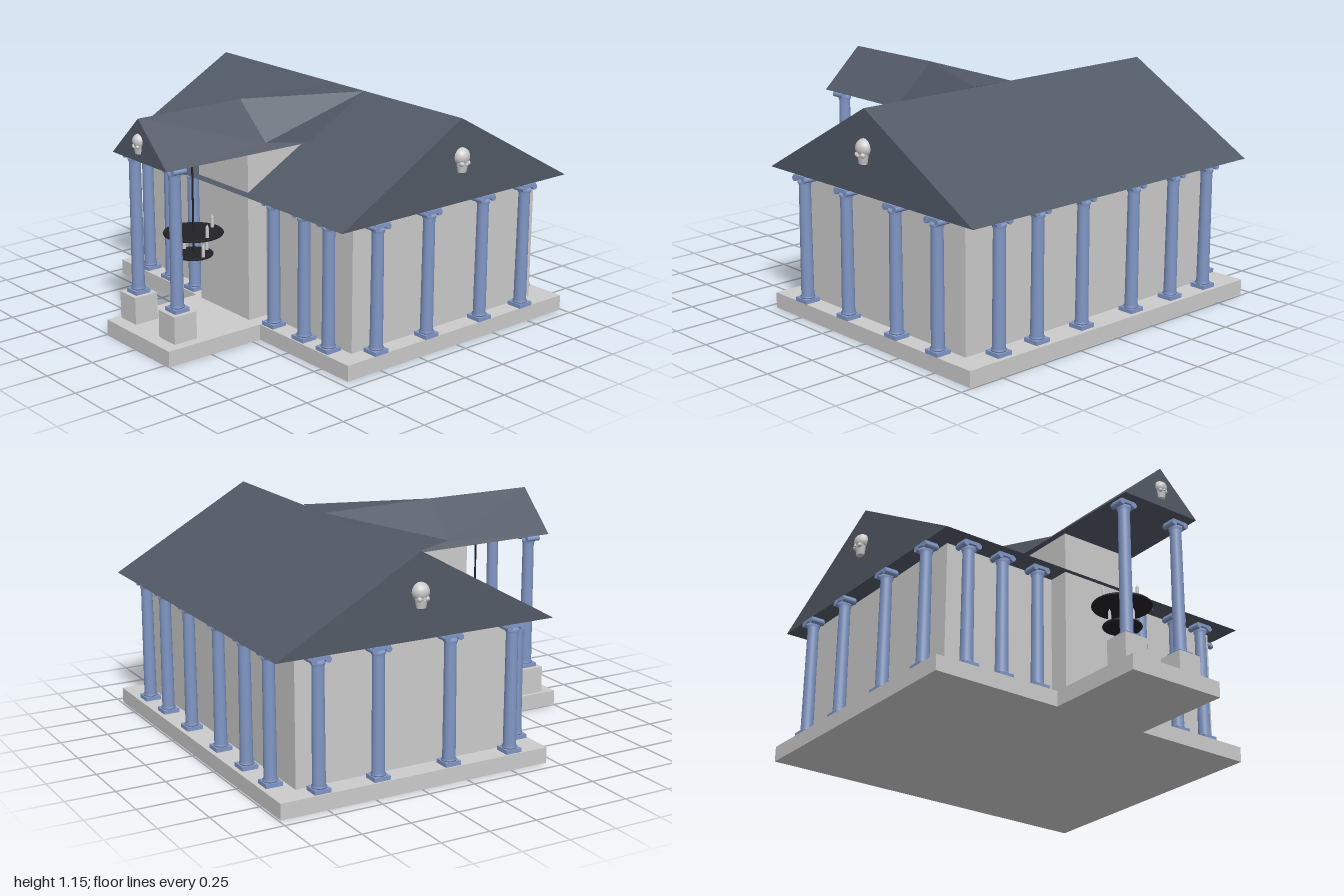
import * as THREE from 'three';

const mat = (color, extra = {}) => new THREE.MeshStandardMaterial({ color, ...extra });
const stone = mat(0xcccccc);
const columnBlue = mat(0x8096c4);
const slate = mat(0x525a66, { flatShading: true, side: THREE.DoubleSide });
const iron = mat(0x222226);

function add(parent, name, geometry, material, x = 0, y = 0, z = 0) {
  const mesh = new THREE.Mesh(geometry, material);
  mesh.name = name;
  mesh.position.set(x, y, z);
  parent.add(mesh);
  return mesh;
}

// Box given by its minimum and maximum on each axis
function block(parent, name, [x0, x1], [y0, y1], [z0, z1], material = stone) {
  return add(parent, name, new THREE.BoxGeometry(x1 - x0, y1 - y0, z1 - z0), material,
    (x0 + x1) / 2, (y0 + y1) / 2, (z0 + z1) / 2);
}

// Scroll-topped column; the scrolls face along z before turning
function column(name, x, z, y0, y1, turn = 0) {
  const g = new THREE.Group();
  g.name = name;
  g.position.set(x, y0, z);
  g.rotation.y = turn;
  const h = y1 - y0;
  block(g, 'plinth', [-0.042, 0.042], [0, 0.02], [-0.042, 0.042], columnBlue);
  const profile = [[0, 0.02], [0.036, 0.02], [0.037, 0.027], [0.032, 0.033],
    [0.029, h - 0.05], [0.034, h - 0.04], [0.034, h - 0.025], [0, h - 0.025]];
  add(g, 'shaft', new THREE.LatheGeometry(profile.map(p => new THREE.Vector2(...p)), 20), columnBlue);
  block(g, 'abacus', [-0.044, 0.044], [h - 0.017, h], [-0.035, 0.035], columnBlue);
  for (const s of [-1, 1]) {
    const scroll = add(g, 'scroll', new THREE.CylinderGeometry(0.015, 0.015, 0.074, 14), columnBlue, s * 0.036, h - 0.018, 0);
    scroll.rotation.x = Math.PI / 2;
  }
  return g;
}

// Sculpted head ornament, facing +z before turning
function headOrnament(x, y, z, turn, scale = 1) {
  const g = new THREE.Group();
  g.name = 'headOrnament';
  g.position.set(x, y, z);
  g.rotation.y = turn;
  g.scale.setScalar(scale);
  add(g, 'cranium', new THREE.SphereGeometry(0.044, 20, 14), stone, 0, 0.015, 0).scale.set(1, 1, 0.95);
  add(g, 'jaw', new THREE.CylinderGeometry(0.036, 0.024, 0.06, 14), stone, 0, -0.03, 0.008).scale.z = 0.8;
  add(g, 'nose', new THREE.ConeGeometry(0.007, 0.02, 6), stone, 0, -0.008, 0.04);
  for (const s of [-1, 1]) {
    add(g, 'cheek', new THREE.SphereGeometry(0.013, 10, 8), stone, s * 0.02, -0.015, 0.026);
  }
  return g;
}

// Disc with a raised rim and four candles
function candleTier(y, radius, candleRadius) {
  const g = new THREE.Group();
  g.name = 'candleTier';
  g.position.y = y;
  add(g, 'disc', new THREE.CylinderGeometry(radius, radius, 0.008, 28), iron);
  const rim = add(g, 'rim', new THREE.TorusGeometry(radius - 0.003, 0.006, 6, 28), iron);
  rim.rotation.x = Math.PI / 2;
  for (let i = 0; i < 4; i++) {
    const a = i * Math.PI / 2;
    const x = candleRadius * Math.cos(a), z = candleRadius * Math.sin(a);
    add(g, 'candle', new THREE.CylinderGeometry(0.008, 0.009, 0.055, 10), stone, x, 0.03, z);
    add(g, 'flame', new THREE.ConeGeometry(0.006, 0.016, 8), stone, x, 0.065, z);
  }
  return g;
}

function porchRoof() {
  const points = [
    [-0.95, 1.15, 0], [-0.35, 1.15, 0], [0.255, 1.14, 0],
    [-0.95, 0.94, 0.225], [-0.35, 0.97, 0.2], [-0.1, 0.937, 0.235], [0.25, 1.14, 0.235],
    [-0.95, 0.94, -0.225], [-0.35, 0.97, -0.2], [-0.1, 0.937, -0.235], [0.25, 1.137, -0.215],
  ];
  const faces = [
    // slope on the front side
    0, 3, 4, 0, 4, 1, 3, 5, 4, 1, 4, 6, 1, 6, 2, 4, 5, 6,
    // slope on the back side
    0, 8, 7, 0, 1, 8, 7, 8, 9, 1, 2, 8, 8, 2, 10, 8, 10, 9,
    // gable and soffit
    0, 7, 3, 3, 7, 9, 3, 9, 5,
  ];
  const geometry = new THREE.BufferGeometry();
  geometry.setAttribute('position', new THREE.Float32BufferAttribute(faces.flatMap(i => points[i]), 3));
  geometry.computeVertexNormals();
  return geometry;
}

export function createModel() {
  const model = new THREE.Group();
  model.name = 'temple';

  // Floor slabs and walls
  block(model, 'mainFloor', [-0.455, 0.99], [0, 0.08], [-0.94, 0.94]);
  block(model, 'porchFloor', [-1, -0.455], [0, 0.08], [-0.25, 0.28]);
  block(model, 'hallWalls', [-0.35, 0.855], [0.08, 0.727], [-0.825, 0.845]);
  block(model, 'entranceWalls', [-0.46, -0.1], [0.08, 0.938], [-0.2, 0.2]);

  // Main gable roof
  const gable = new THREE.Shape([
    new THREE.Vector2(-0.485, 0.725), new THREE.Vector2(0.995, 0.725), new THREE.Vector2(0.255, 1.14)]);
  add(model, 'mainRoof', new THREE.ExtrudeGeometry(gable, { depth: 1.845, bevelEnabled: false }), slate, 0, 0, -0.92);

  // Porch roof running into the main slope
  add(model, 'porchRoof', porchRoof(), slate);

  // Colonnade
  for (const x of [-0.245, 0.08, 0.44, 0.73]) model.add(column('frontColumn', x, 0.9, 0.08, 0.725));
  for (const x of [-0.27, 0.075, 0.46, 0.77]) model.add(column('backColumn', x, -0.89, 0.08, 0.725));
  for (const z of [0.705, 0.465, 0.17, -0.175, -0.46, -0.71]) {
    model.add(column('leftColumn', 0.925, z, 0.08, 0.725, Math.PI / 2));
  }
  for (const z of [0.74, 0.56, 0.33, -0.33, -0.54, -0.74]) {
    model.add(column('rightColumn', -0.405, z, 0.08, 0.725, Math.PI / 2));
  }

  // Porch columns on pedestals
  for (const z of [-0.165, 0.165]) {
    block(model, 'pedestal', [-0.93, -0.8], [0.08, 0.22], [z - 0.065, z + 0.065]);
    model.add(column('porchColumn', -0.865, z, 0.22, 0.94, Math.PI / 2));
  }

  // Hanging chandelier
  const chandelier = new THREE.Group();
  chandelier.name = 'chandelier';
  chandelier.position.x = -0.645;
  add(chandelier, 'rod', new THREE.CylinderGeometry(0.005, 0.005, 0.53, 8), iron, 0, 0.675, 0);
  chandelier.add(candleTier(0.525, 0.147, 0.115), candleTier(0.415, 0.095, 0.08));
  model.add(chandelier);

  // Head ornaments on the gables
  model.add(headOrnament(0.255, 0.94, 0.925, 0));
  model.add(headOrnament(0.262, 0.94, -0.925, Math.PI));
  model.add(headOrnament(-0.945, 1.03, 0, -Math.PI / 2, 0.8));
  return model;
}
